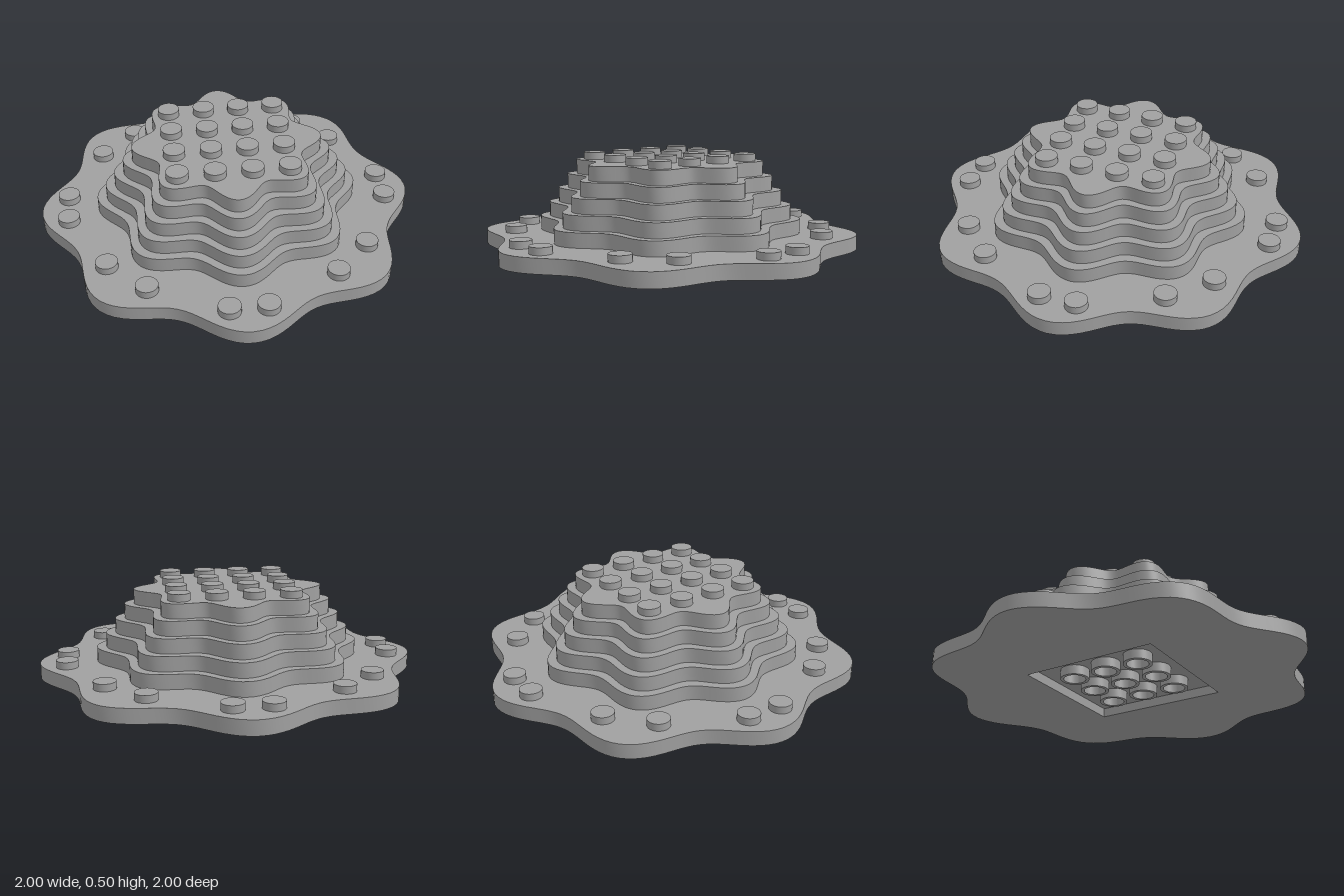
import * as THREE from 'three';
import { toCreasedNormals } from 'three/addons/utils/BufferGeometryUtils.js';

const PITCH = 0.19;      // stud spacing
const STUD_R = 0.057;
const STUD_H = 0.038;
const BASE_H = 0.077;
const CAVITY_H = 0.05;

// Eight-lobed wavy outline whose lobes reach the given radius
function wavyShape(radius, wave) {
  const points = [];
  const n = 160;
  for (let i = 0; i < n; i++) {
    const a = (i / n) * Math.PI * 2;
    const r = radius - wave + wave * Math.cos(8 * a);
    points.push(new THREE.Vector2(r * Math.cos(a), r * Math.sin(a)));
  }
  return new THREE.Shape(points);
}

// Extrude a flat shape upwards, smooth around the curves and sharp at the rims
function slab(shape, height) {
  const geometry = new THREE.ExtrudeGeometry(shape, { depth: height, bevelEnabled: false, curveSegments: 20 });
  geometry.rotateX(-Math.PI / 2);
  return toCreasedNormals(geometry, 0.6);
}

export function createModel() {
  const model = new THREE.Group();
  model.name = 'steppedMound';
  const grey = new THREE.MeshStandardMaterial({ color: 0xa0a0a0 });
  grey.name = 'stone grey';

  const add = (name, geometry, x, y, z, parent = model) => {
    const mesh = new THREE.Mesh(geometry, grey);
    mesh.name = name;
    mesh.position.set(x, y, z);
    parent.add(mesh);
    return mesh;
  };

  // Wavy base with a square cavity underneath
  const baseShape = wavyShape(1, 0.06);
  const h = 0.365;
  baseShape.holes.push(new THREE.Path([
    new THREE.Vector2(-h, -h), new THREE.Vector2(-h, h),
    new THREE.Vector2(h, h), new THREE.Vector2(h, -h),
  ]));
  add('base', slab(baseShape, BASE_H), 0, 0, 0);
  const ceilingH = BASE_H - CAVITY_H;
  add('cavityCeiling', new THREE.BoxGeometry(2 * h, ceilingH, 2 * h), 0, CAVITY_H + ceilingH / 2, 0);

  // Hollow tubes in the cavity
  const ring = new THREE.Shape().absarc(0, 0, 0.075, 0, Math.PI * 2, false);
  ring.holes.push(new THREE.Path().absarc(0, 0, 0.057, 0, Math.PI * 2, true));
  const tubeGeometry = slab(ring, CAVITY_H);
  const tubes = new THREE.Group();
  tubes.name = 'undersideTubes';
  model.add(tubes);
  for (let i = -1; i <= 1; i++) {
    for (let j = -1; j <= 1; j++) add('tube', tubeGeometry, i * PITCH, 0, j * PITCH, tubes);
  }

  // Five shrinking tiers
  const tierH = 0.0766;
  for (let i = 0; i < 5; i++) {
    add('tier' + (i + 1), slab(wavyShape(0.7 - 0.05 * i, 0.05), tierH), 0, BASE_H + i * tierH, 0);
  }
  const topY = BASE_H + 5 * tierH;

  // Studs: a four by four grid on top and pairs around the rim
  const studGeometry = new THREE.CylinderGeometry(STUD_R, STUD_R, STUD_H, 40);
  const topStuds = new THREE.Group();
  topStuds.name = 'topStuds';
  const rimStuds = new THREE.Group();
  rimStuds.name = 'rimStuds';
  model.add(topStuds, rimStuds);
  for (let i = -1.5; i <= 1.5; i++) {
    for (let j = -1.5; j <= 1.5; j++) {
      add('stud', studGeometry, i * PITCH, topY + STUD_H / 2, j * PITCH, topStuds);
    }
  }
  for (const [u, v] of [[0.5, 4.5], [2.5, 3.5], [3.5, 2.5], [4.5, 0.5]]) {
    for (const sx of [-1, 1]) {
      for (const sz of [-1, 1]) {
        add('stud', studGeometry, sx * u * PITCH, BASE_H + STUD_H / 2, sz * v * PITCH, rimStuds);
      }
    }
  }
  return model;
}
